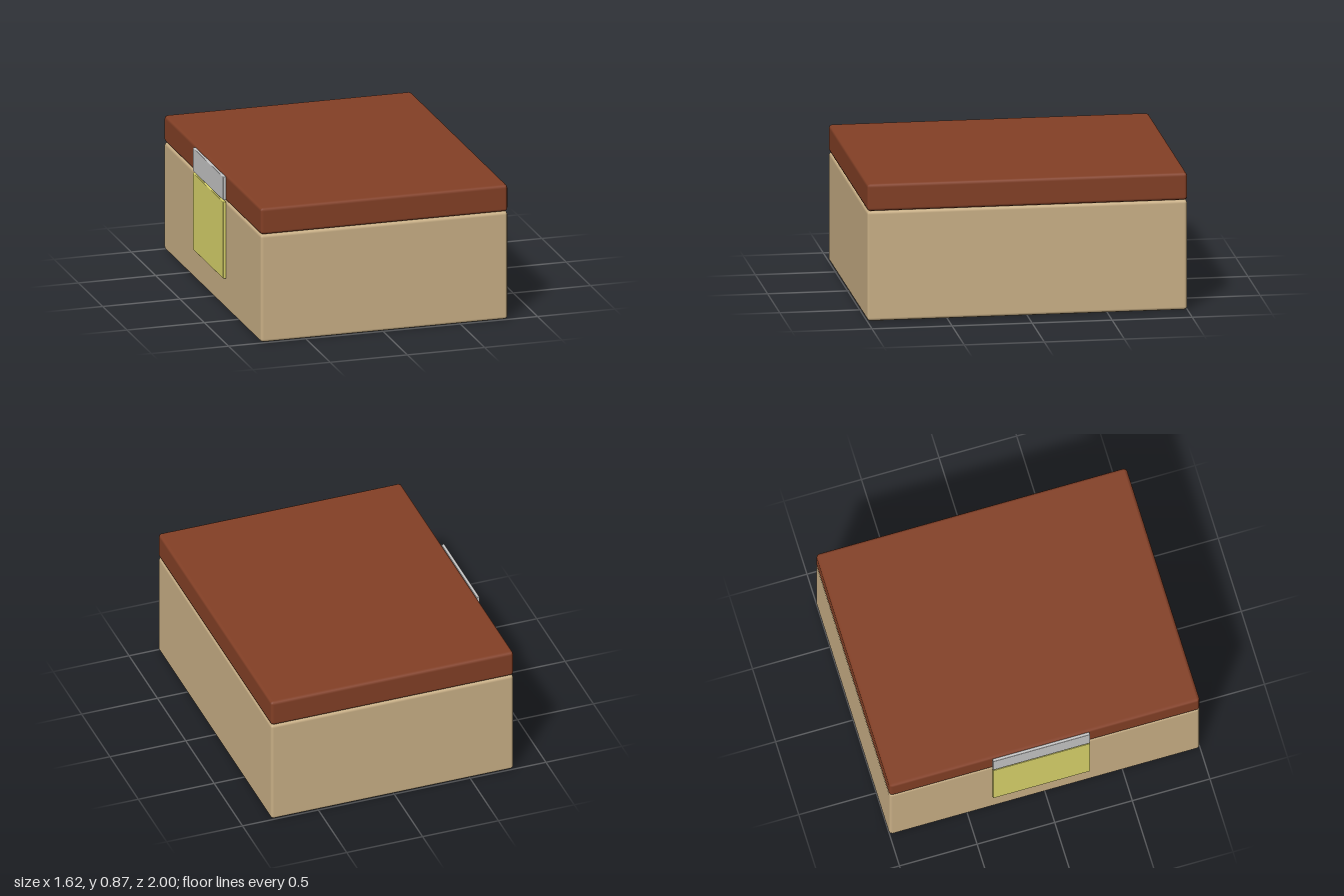
import * as THREE from 'three';
import { RoundedBoxGeometry } from 'three/addons/geometries/RoundedBoxGeometry.js';

const material = (name, color) => {
  const m = new THREE.MeshStandardMaterial({ color });
  m.name = name;
  return m;
};

export function createModel() {
  const group = new THREE.Group();
  group.name = 'box';

  const tan = material('tan', 0xcbb187);
  const brown = material('brown', 0x844026);
  const silver = material('silver', 0xc8c8c8);
  const yellow = material('yellow', 0xdcd66c);

  // Bevelled block given by its lower and upper corners
  function block(name, min, max, bevel, mat) {
    const size = max.map((v, i) => v - min[i]);
    const mesh = new THREE.Mesh(new RoundedBoxGeometry(...size, 1, bevel), mat);
    mesh.position.set(...max.map((v, i) => (v + min[i]) / 2));
    mesh.name = name;
    group.add(mesh);
  }

  // Container and its lid
  block('body', [-0.79, 0, -1], [0.81, 0.698, 1], 0.02, tan);
  block('lid', [-0.79, 0.698, -1], [0.81, 0.87, 1], 0.02, brown);

  // Two-part clasp on the right side
  block('claspUpper', [-0.81, 0.708, -0.34], [-0.79, 0.86, 0.285], 0.004, silver);
  block('claspLower', [-0.81, 0.2, -0.34], [-0.79, 0.698, 0.285], 0.004, yellow);

  return group;
}
